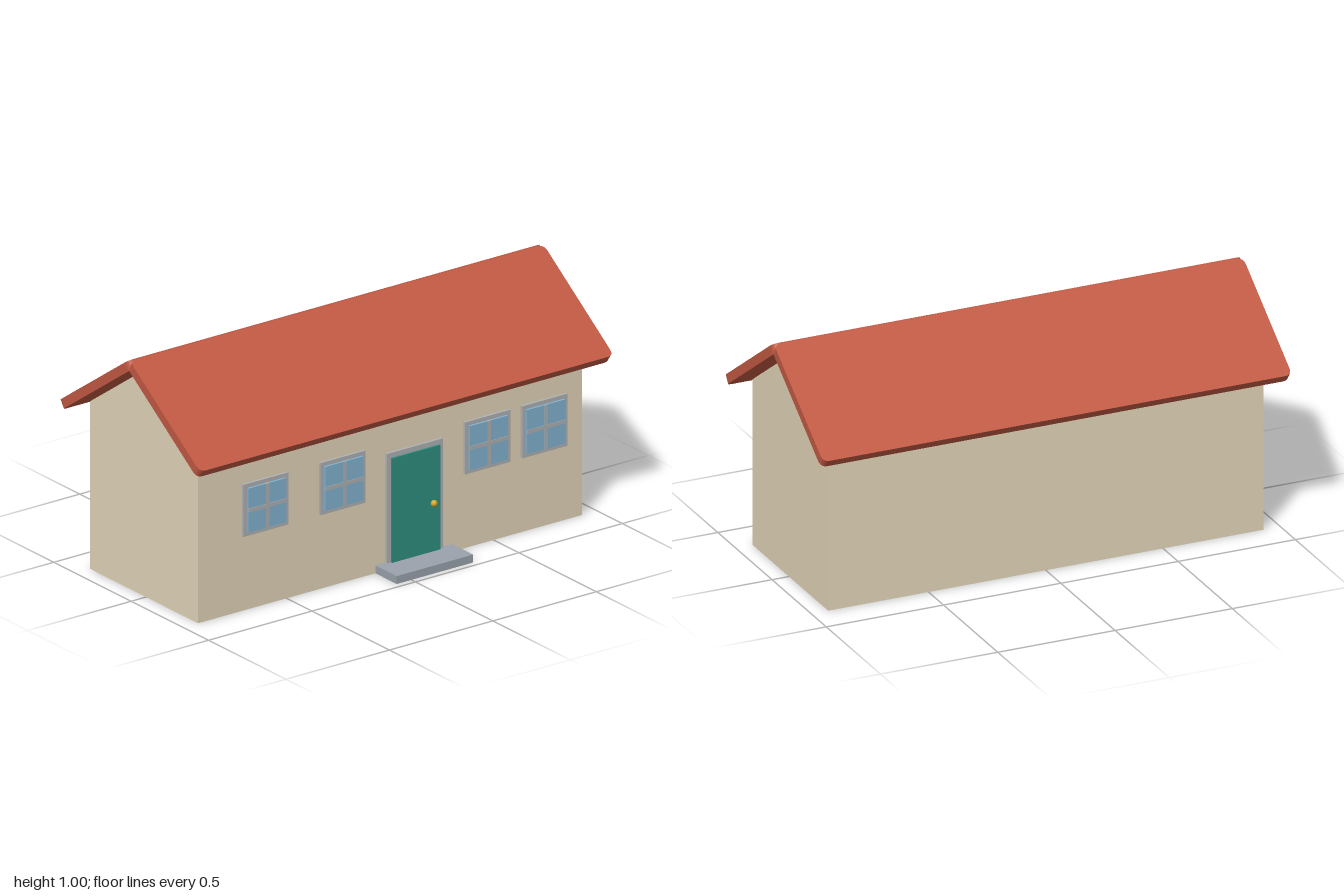
import * as THREE from 'three';

const mat = (color, extra = {}) => new THREE.MeshStandardMaterial({ color, ...extra });
const wallMat = mat(0xe2d5b8), roofMat = mat(0xc25a43), trimMat = mat(0xb0b2b4);
const glassMat = mat(0x82b4d2), doorMat = mat(0x2e9080), stepMat = mat(0x9ba2ac), knobMat = mat(0xd4a52a);

const WALL_FRONT = 0.336, WALL_BACK = -0.362, RIDGE_Z = -0.013;

// Box given by its minimum and maximum corners
function box(name, material, [x0, y0, z0], [x1, y1, z1]) {
  const mesh = new THREE.Mesh(new THREE.BoxGeometry(x1 - x0, y1 - y0, z1 - z0), material);
  mesh.position.set((x0 + x1) / 2, (y0 + y1) / 2, (z0 + z1) / 2);
  mesh.name = name;
  return mesh;
}

// Walls with gable ends: pentagon section swept along x
function createWalls() {
  const half = 0.928;
  const shape = new THREE.Shape([
    [-WALL_FRONT, 0], [-WALL_BACK, 0], [-WALL_BACK, 0.7], [-RIDGE_Z, 0.943], [-WALL_FRONT, 0.7],
  ].map(([a, b]) => new THREE.Vector2(a, b)));
  const geo = new THREE.ExtrudeGeometry(shape, { depth: half * 2, bevelEnabled: false });
  geo.translate(0, 0, -half).rotateY(Math.PI / 2);
  const walls = new THREE.Mesh(geo, wallMat);
  walls.name = 'walls';
  return walls;
}

// Roof slab: rounded rectangle plate, laid on the slope from ridge to eave
function createRoof() {
  const roof = new THREE.Group();
  roof.name = 'roof';
  const length = 0.551, thick = 0.038, r = 0.03, slope = Math.atan2(0.315, 0.452);
  const s = new THREE.Shape();
  s.moveTo(-1 + r, 0);
  s.lineTo(1 - r, 0);
  s.quadraticCurveTo(1, 0, 1, r);
  s.lineTo(1, length - r);
  s.quadraticCurveTo(1, length, 1 - r, length);
  s.lineTo(-1 + r, length);
  s.quadraticCurveTo(-1, length, -1, length - r);
  s.lineTo(-1, r);
  s.quadraticCurveTo(-1, 0, -1 + r, 0);
  const geo = new THREE.ExtrudeGeometry(s, { depth: thick, bevelEnabled: false, curveSegments: 6 });
  // the plate's outer face passes through the eave edge
  geo.translate(0, 0, -thick).rotateX(-Math.PI / 2 + slope).translate(0, 0.685, 0.458);
  for (const [name, turn] of [['frontRoofSlab', 0], ['backRoofSlab', Math.PI]]) {
    const slab = new THREE.Mesh(geo, roofMat);
    slab.name = name;
    slab.rotation.y = turn;
    slab.position.z = RIDGE_Z;
    roof.add(slab);
  }
  return roof;
}

// Window: frame, raised pane and crossed glazing bars
function createWindow(x) {
  const g = new THREE.Group();
  g.name = 'window';
  const w = 0.109, p = 0.092, b = 0.008, z = WALL_FRONT;
  g.add(
    box('windowFrame', trimMat, [-w, -w, z - 0.01], [w, w, z + 0.011]),
    box('windowPane', glassMat, [-p, -p, z], [p, p, z + 0.02]),
    box('verticalBar', trimMat, [-b, -p, z], [b, p, z + 0.0215]),
    box('horizontalBar', trimMat, [-p, -b, z], [p, b, z + 0.022]),
  );
  g.position.set(x, 0.421, 0);
  return g;
}

// Door with frame, knob and doorstep
function createDoor() {
  const g = new THREE.Group();
  g.name = 'door';
  const z = WALL_FRONT;
  const knob = new THREE.Mesh(new THREE.SphereGeometry(0.014, 20, 14), knobMat);
  knob.name = 'doorKnob';
  knob.position.set(0.195, 0.235, z + 0.024);
  g.add(
    box('doorFrame', trimMat, [-0.022, 0.02, z - 0.01], [0.247, 0.49, z + 0.011]),
    box('doorPanel', doorMat, [-0.004, 0.033, z], [0.229, 0.469, z + 0.019]),
    box('doorstep', stepMat, [-0.071, 0, z], [0.298, 0.033, 0.474]),
    knob,
  );
  return g;
}

export function createModel() {
  const house = new THREE.Group();
  house.name = 'house';
  house.add(createWalls(), createRoof(), createDoor());
  for (const x of [-0.607, -0.235, 0.464, 0.74]) house.add(createWindow(x));
  return house;
}
